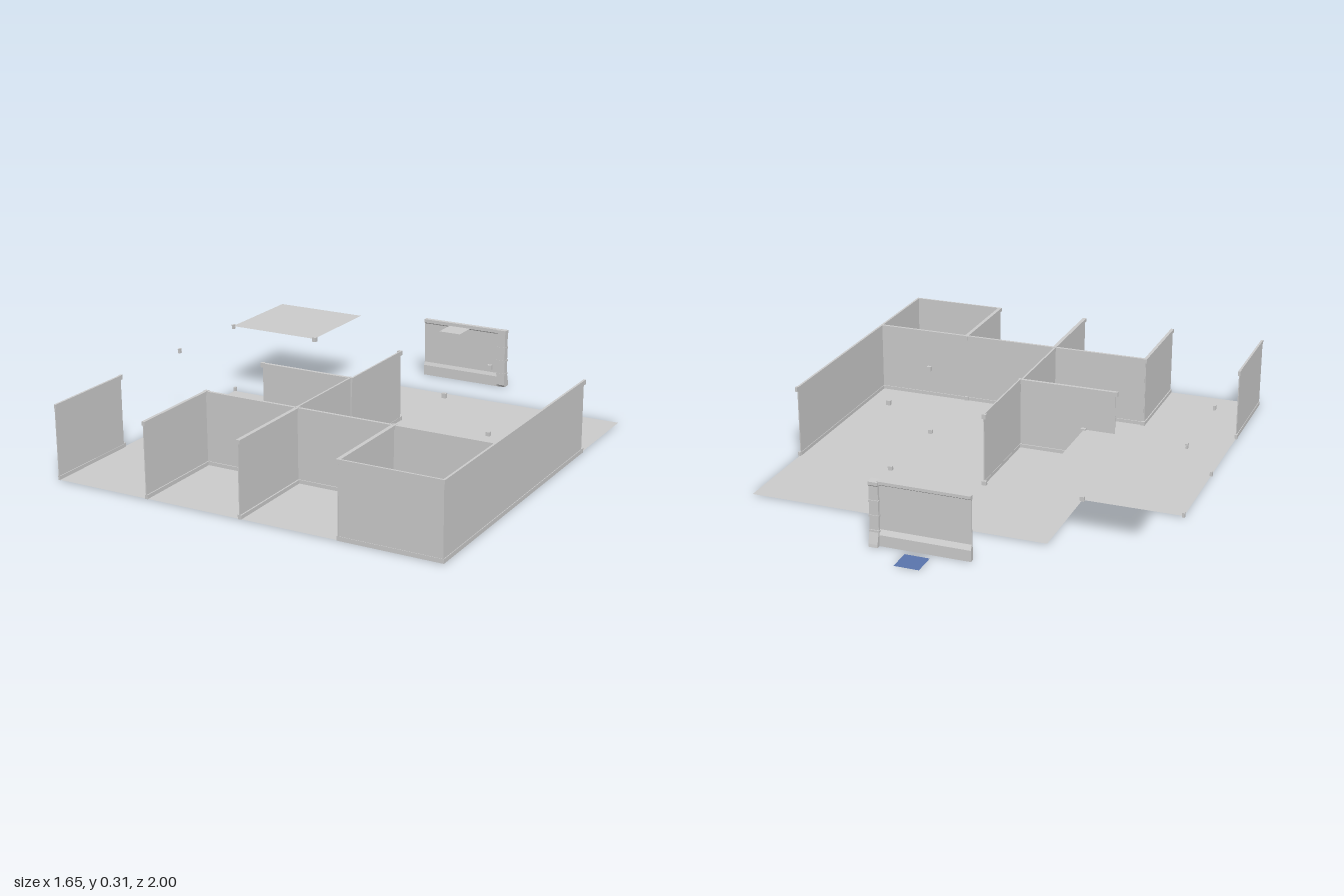
import * as THREE from 'three';

const grey = new THREE.MeshStandardMaterial({ color: 0xcccccc, flatShading: true, side: THREE.DoubleSide });
const blue = new THREE.MeshStandardMaterial({ color: 0x5a74ac, flatShading: true, side: THREE.DoubleSide });

const CELL = 0.41, TOP = 0.305, TRIM = 0.018, FLOOR = 0.003;
const X = [-0.82, -0.41, 0, 0.41, 0.82].map((v) => v * 0.997);
const Z = [-0.64, -0.23, 0.18, 0.59, 1];

export function createModel() {
  const root = new THREE.Group();

  const add = (name, geometry, parent = root, material = grey) => {
    const mesh = new THREE.Mesh(geometry, material);
    mesh.name = name;
    parent.add(mesh);
    return mesh;
  };
  const box = (name, x0, x1, y0, y1, z0, z1, parent) => {
    const mesh = add(name, new THREE.BoxGeometry(x1 - x0, y1 - y0, z1 - z0), parent);
    mesh.position.set((x0 + x1) / 2, (y0 + y1) / 2, (z0 + z1) / 2);
    return mesh;
  };
  const sheet = (name, x0, x1, z0, z1, y, material) => {
    const g = new THREE.PlaneGeometry(x1 - x0, z1 - z0).rotateX(-Math.PI / 2);
    add(name, g, root, material).position.set((x0 + x1) / 2, y, (z0 + z1) / 2);
  };

  // Walls: [axis it runs along, line position, start, end, trim from, trim to]
  const walls = [
    ['z', X[0], Z[3], Z[4], -0.003, 0.006],
    ['z', X[1], Z[3], Z[4], -0.008, 0.005],
    ['z', X[2], Z[3], Z[4], -0.008, 0.008],
    ['z', X[3], Z[3], Z[4], -0.008, 0.008],
    ['z', X[4], Z[1], Z[4], -0.006, 0.003],
    ['z', X[2], Z[2], Z[3], -0.008, 0],
    ['z', X[2], Z[1], Z[2], 0, 0.007],
    ['x', Z[2], X[1], X[2], -0.01, 0.004],
    ['x', Z[3], X[1], X[4], -0.006, 0.006],
    ['x', Z[4], X[3], X[4], -0.008, 0],
  ];
  for (const [axis, line, a, b, t0, t1] of walls) {
    const wall = new THREE.Group();
    wall.name = 'wall';
    root.add(wall);
    const mid = line + (t0 + t1) / 2;
    const slab = (name, y0, y1, p, q) => axis === 'z'
      ? box(name, p, q, y0, y1, a, b, wall)
      : box(name, a, b, y0, y1, p, q, wall);
    slab('wallPanel', FLOOR, TOP - 0.002, mid - 0.002, mid + 0.002);
    slab('skirting', 0.001, TRIM, line + t0, line + t1);
    slab('topTrim', TOP - TRIM + 0.002, TOP, line + t0, line + t1);
  }

  // Small corner blocks at the grid crossings, at floor and at wall top
  const corners = [
    [0, 1], [1, 1], [2, 1], [3, 1], [4, 1],
    [0, 2], [1, 2], [2, 2], [3, 2],
    [0, 3], [1, 3], [2, 3], [3, 3],
  ];
  for (const [i, j] of corners) {
    const edge = i === 0 || i === 4 ? 0.005 : 0.009;
    for (const y of [0.001, TOP - TRIM]) {
      box('cornerBlock', X[i] - edge, X[i] + edge, y, y + TRIM + 0.001, Z[j] - 0.011, Z[j] + 0.003);
    }
  }

  // Floor tiles; one corner carries a raised ceiling tile instead
  for (let i = 0; i < 4; i++) {
    for (let j = 0; j < 4; j++) {
      const ceiling = i === 0 && j === 0;
      // Front row tiles stop short of the dividing walls
      const l = j === 3 && i > 0 ? 0.006 : 0;
      const r = j === 3 && i < 3 ? 0.006 : 0;
      sheet(ceiling ? 'ceilingTile' : 'floorTile', X[i] + l, X[i + 1] - r, Z[j], Z[j + 1],
        ceiling ? TOP - 0.005 : FLOOR);
    }
  }

  // Separate wall section: a [z, y] profile drawn along x
  const profileBar = (name, points, x0, x1) => {
    const shape = new THREE.Shape(points.map(([z, y]) => new THREE.Vector2(-z, y)));
    const g = new THREE.ExtrudeGeometry(shape, { depth: x1 - x0, bevelEnabled: false });
    add(name, g.rotateY(Math.PI / 2).translate(x0, 0, 0));
  };
  profileBar('samplePanel', [
    [-0.852, 0], [-0.873, 0], [-0.873, 0.045], [-0.863, 0.065], [-0.863, 0.242],
    [-0.872, 0.248], [-0.872, 0.26], [-0.852, 0.26], [-0.852, 0.245], [-0.858, 0.24],
    [-0.858, 0.06], [-0.852, 0.045],
  ], -0.2, 0.17);
  profileBar('samplePost', [
    [-0.847, 0.01], [-0.855, 0], [-0.892, 0], [-0.89, 0.012], [-0.878, 0.055], [-0.875, 0.065],
    [-0.875, 0.24], [-0.88, 0.245], [-0.88, 0.258], [-0.847, 0.26],
  ], 0.163, 0.2);
  for (const y of [0.06, 0.12, 0.18]) {
    box('postBand', 0.161, 0.202, y - 0.004, y + 0.004, -0.878, -0.846);
  }

  // Loose square tiles beside the sample section
  sheet('looseTile', -0.05, 0.05, -0.8, -0.7, 0.263);
  sheet('blueTile', -0.05, 0.05, -1, -0.9, 0, blue);

  return root;
}
